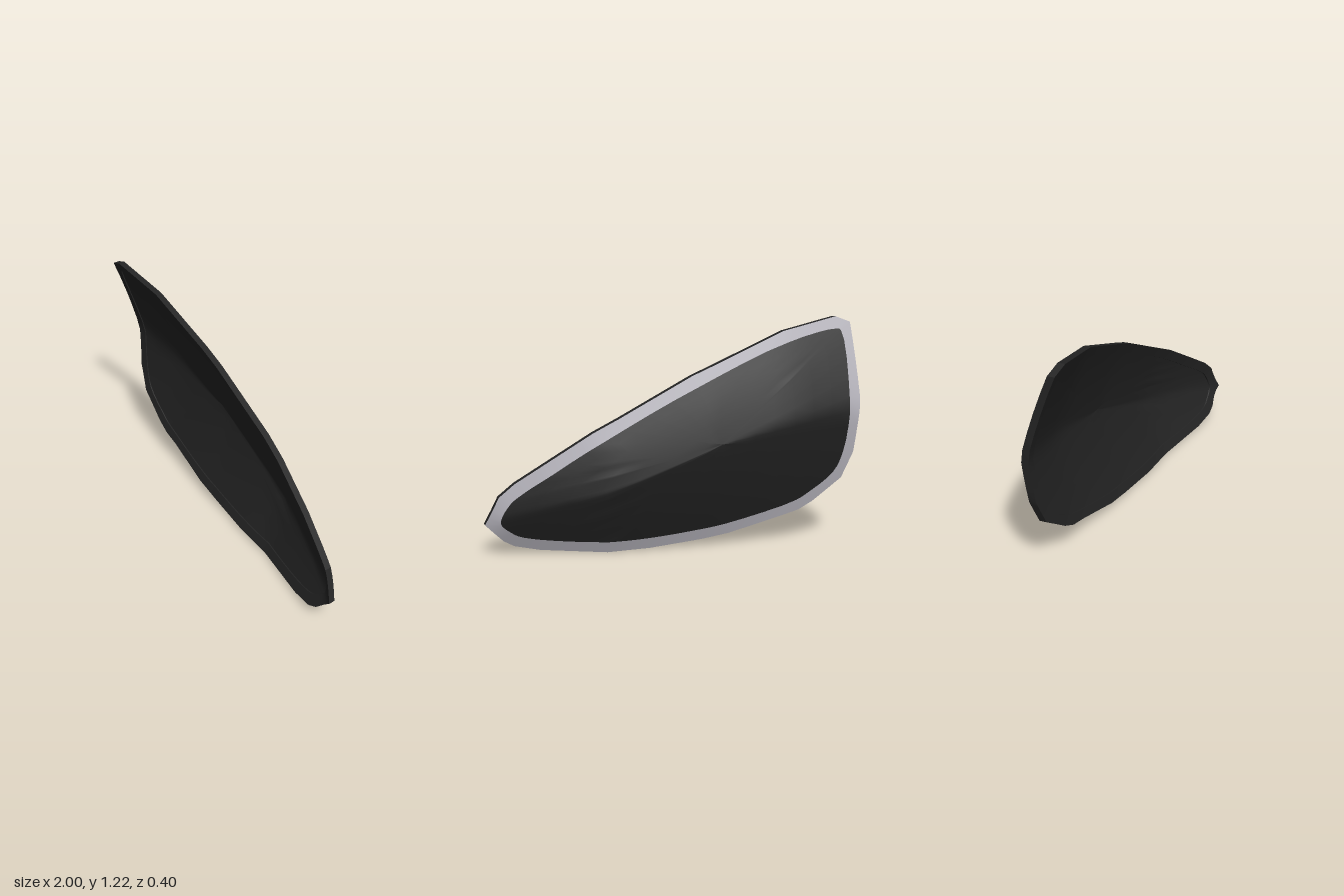
import * as THREE from 'three';
import { toCreasedNormals } from 'three/addons/utils/BufferGeometryUtils.js';

const THICKNESS = 0.036;
const STEPS = 4; // points per outline span

// Outer edge, clockwise from the upper left corner
const OUTLINE = [
  [-1, 1.19], [-0.92, 1.22], [-0.6, 1.15], [-0.08, 0.93], [0.45, 0.65], [0.7, 0.49],
  [0.85, 0.39], [0.93, 0.32], [1, 0.17], [0.905, 0.075], [0.85, 0.045], [0.72, 0.02],
  [0.38, 0], [0.15, 0.008], [-0.13, 0.04], [-0.28, 0.065], [-0.67, 0.175], [-0.75, 0.22],
  [-0.91, 0.345], [-0.97, 0.49], [-1, 0.79],
].map(([x, y]) => new THREE.Vector2(x, y));

// Dish sections: x, then (y, z) at the bottom, the deepest point and the top
const SECTIONS = [
  [-1, 0.22, -0.14, 0.74, -0.2, 1.21, -0.04],
  [-0.6, 0.15, -0.12, 0.68, -0.2, 1.15, -0.04],
  [-0.15, 0.04, -0.05, 0.55, -0.165, 0.96, -0.04],
  [0.38, 0, 0.02, 0.35, -0.09, 0.69, 0],
  [0.7, 0.02, 0.115, 0.27, 0.03, 0.49, 0.07],
  [0.92, 0.08, 0.16, 0.2, 0.115, 0.33, 0.13],
  [1, 0.1, 0.17, 0.17, 0.167, 0.3, 0.165],
];

// Depth of the back surface at (x, y)
function depth(x, y) {
  let i = 0;
  while (i < SECTIONS.length - 2 && x > SECTIONS[i + 1][0]) i++;
  const a = SECTIONS[i], b = SECTIONS[i + 1];
  const t = THREE.MathUtils.clamp((x - a[0]) / (b[0] - a[0]), 0, 1);
  const [, y0, z0, y1, z1, y2, z2] = a.map((v, k) => v + (b[k] - v) * t);
  const s0 = (z1 - z0) / (y1 - y0), s1 = (z2 - z1) / (y2 - y1);
  const bend = 0.35 * (s1 - s0) / (y2 - y0);
  return y < y1
    ? z0 + s0 * (y - y0) + bend * (y - y0) * (y - y1)
    : z1 + s1 * (y - y1) + bend * (y - y1) * (y - y2);
}

// Mitred inset of the outline, rounded by a closed curve
function insetRing(d) {
  const n = OUTLINE.length;
  const pts = OUTLINE.map((p, i) => {
    const e0 = p.clone().sub(OUTLINE[(i + n - 1) % n]).normalize();
    const e1 = OUTLINE[(i + 1) % n].clone().sub(p).normalize();
    const m = new THREE.Vector2(e0.y + e1.y, -e0.x - e1.x).normalize();
    const q = p.clone().addScaledVector(m, d / (m.x * e1.y - m.y * e1.x));
    return new THREE.Vector3(q.x, q.y, 0);
  });
  const curve = new THREE.CatmullRomCurve3(pts, true);
  return Array.from({ length: n * STEPS }, (_, k) => curve.getPoint(k / (n * STEPS)));
}

function outlineRing() {
  return OUTLINE.flatMap((p, i) => Array.from({ length: STEPS }, (_, k) =>
    p.clone().lerp(OUTLINE[(i + 1) % OUTLINE.length], k / STEPS)));
}

// Lay a flat ring on the dish, shifted forward by dz
const drape = (ring, dz) => ring.map((p) => new THREE.Vector3(p.x, p.y, depth(p.x, p.y) + dz));

// Rings shrinking from an edge ring to the middle
function fillRings(ring, dz) {
  const centre = new THREE.Vector2(-0.2, 0.58);
  return [1, 0.85, 0.7, 0.55, 0.4, 0.25, 0.1, 0].map((s) => drape(ring.map((p) =>
    new THREE.Vector2(centre.x + (p.x - centre.x) * s, centre.y + (p.y - centre.y) * s)), dz));
}

// Join successive rings into a surface
function skin(name, rings, material, crease) {
  const n = rings[0].length, index = [];
  for (let r = 0; r < rings.length - 1; r++) {
    for (let i = 0; i < n; i++) {
      const j = (i + 1) % n, a = r * n, b = a + n;
      index.push(a + i, b + i, a + j, a + j, b + i, b + j);
    }
  }
  const geometry = new THREE.BufferGeometry().setFromPoints(rings.flat());
  geometry.setIndex(index);
  geometry.computeVertexNormals();
  const mesh = new THREE.Mesh(crease ? toCreasedNormals(geometry, crease) : geometry, material);
  mesh.name = name;
  return mesh;
}

export function createModel() {
  const dark = new THREE.MeshStandardMaterial({ name: 'dark shell', color: 0x242424 });
  const black = new THREE.MeshStandardMaterial({ name: 'black panel', color: 0x1f1f1f });
  const grey = new THREE.MeshStandardMaterial({ name: 'grey border', color: 0xb2b0b8 });

  const edge = outlineRing();
  const backInset = insetRing(0.062), frontInset = insetRing(0.055);
  const backEdge = drape(edge, 0), frontEdge = drape(edge, THICKNESS);
  const lip = drape(frontInset, THICKNESS), floor = THICKNESS - 0.006;

  const group = new THREE.Group();
  group.name = 'curvedShell';
  group.add(
    skin('backPanel', fillRings(backInset, 0).reverse(), black),
    skin('backBorder', [drape(backInset, 0), backEdge], grey),
    skin('edgeWall', [backEdge, frontEdge], dark, 0.35),
    skin('frontRim', [frontEdge, lip], dark),
    skin('rimStep', [lip, drape(frontInset, floor)], dark),
    skin('frontDish', fillRings(frontInset, floor), dark),
  );
  return group;
}
